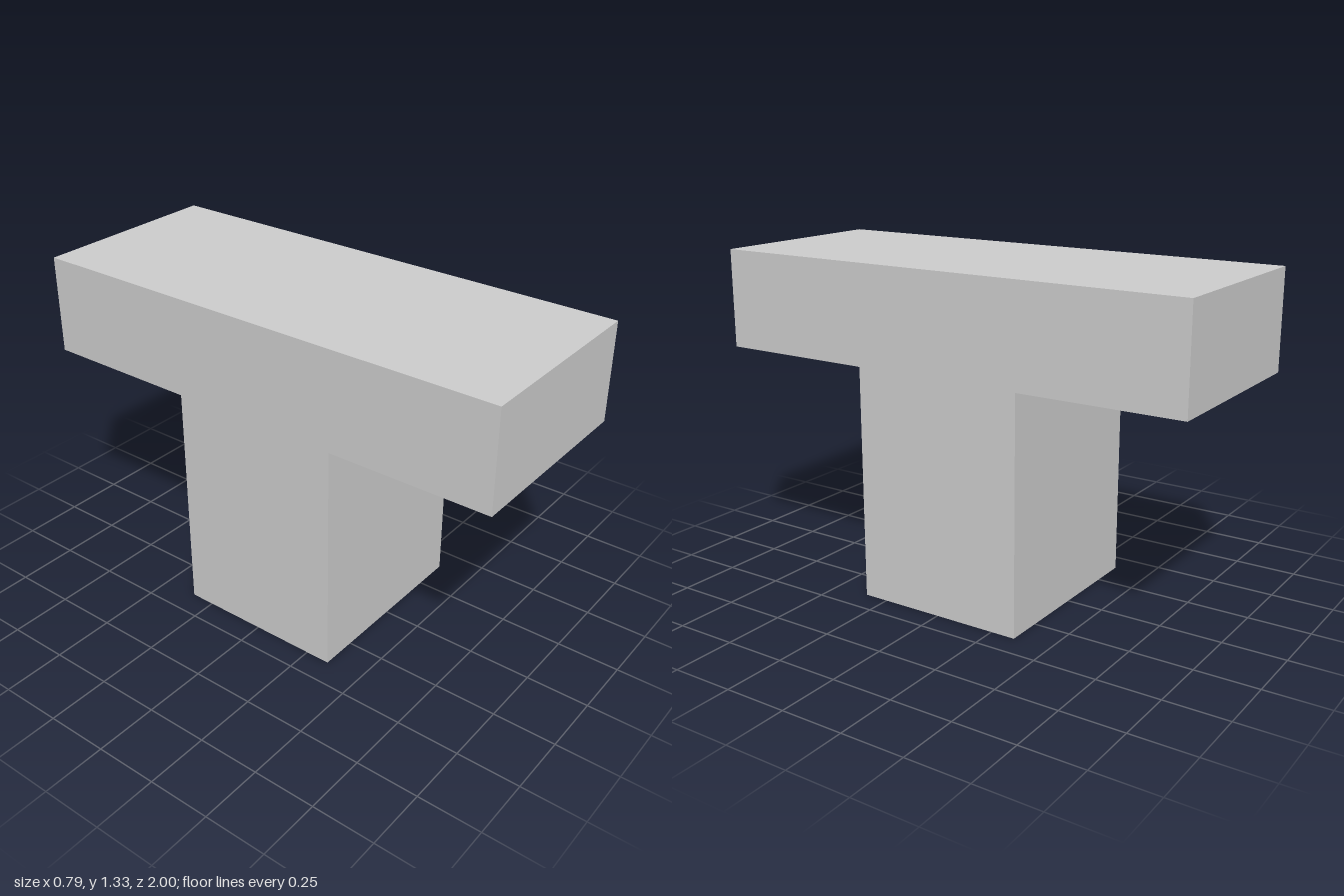
import * as THREE from 'three';

const WIDTH = 0.794;      // depth of the extrusion, along x
const HEIGHT = 1.333;
const UNDERSIDE = 0.937;  // bottom of the crossbar
const STEM = 0.35;        // half length of the stem, along z
const BAR = 1;            // half length of the crossbar, along z

export function createModel() {
  const group = new THREE.Group();

  // T-shaped side profile, extruded across the width
  const profile = new THREE.Shape([
    [-STEM, 0], [STEM, 0], [STEM, UNDERSIDE], [BAR, UNDERSIDE],
    [BAR, HEIGHT], [-BAR, HEIGHT], [-BAR, UNDERSIDE], [-STEM, UNDERSIDE],
  ].map(([x, y]) => new THREE.Vector2(x, y)));

  const geometry = new THREE.ExtrudeGeometry(profile, { depth: WIDTH, bevelEnabled: false });
  geometry.translate(0, 0, -WIDTH / 2).rotateY(Math.PI / 2);

  const block = new THREE.Mesh(geometry, new THREE.MeshStandardMaterial({ color: 0xcccccc, flatShading: true }));
  block.name = 'tBlock';
  group.add(block);
  return group;
}
